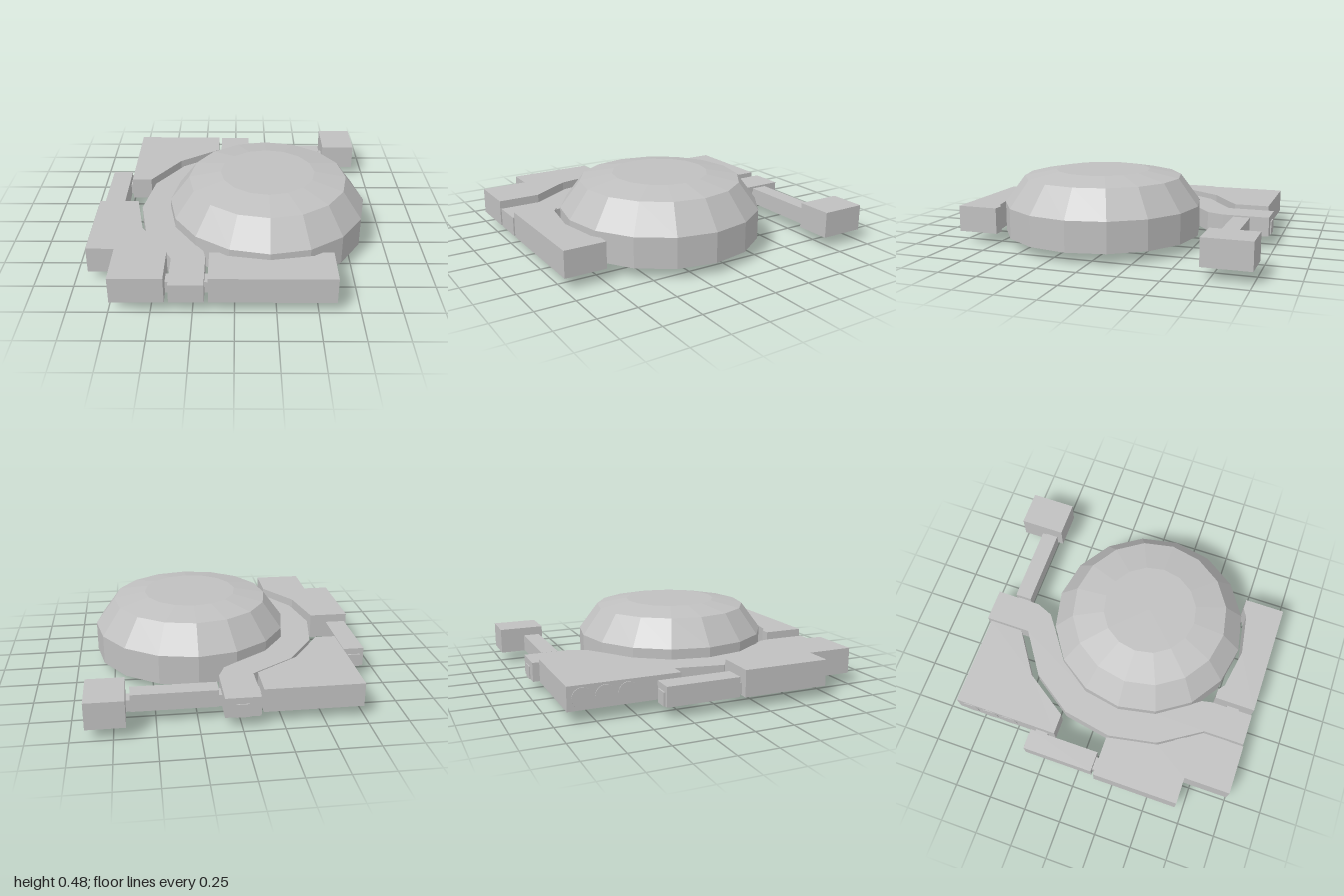
import * as THREE from 'three';

const grey = new THREE.MeshStandardMaterial({ color: 0xc0c0c0, flatShading: true });
grey.name = 'plain grey';

const BASE = 0.075;
const CX = 0.215, CZ = 0.13; // dome centre

export function createModel() {
  const model = new THREE.Group();
  model.name = 'domedAssembly';

  const add = (name, geometry, x = 0, y = 0, z = 0) => {
    const mesh = new THREE.Mesh(geometry, grey);
    mesh.name = name;
    mesh.position.set(x, y, z);
    model.add(mesh);
    return mesh;
  };

  // Box given by its limits on each axis
  const box = (name, x0, x1, y0, y1, z0, z1) =>
    add(name, new THREE.BoxGeometry(x1 - x0, y1 - y0, z1 - z0),
      (x0 + x1) / 2, (y0 + y1) / 2, (z0 + z1) / 2);

  // Slab with an outline of [x, z] points
  const slab = (name, outline, y0, y1) => {
    const shape = new THREE.Shape(outline.map(([x, z]) => new THREE.Vector2(x, -z)));
    const geometry = new THREE.ExtrudeGeometry(shape, { depth: y1 - y0, bevelEnabled: false });
    geometry.rotateX(-Math.PI / 2);
    return add(name, geometry, 0, y0, 0);
  };

  // Faceted dome with a stepped, recessed underside
  const profile = [
    [0, 0.11], [0.21, 0.11], [0.21, 0.05], [0.43, 0.05], [0.43, 0.07], [0.65, 0.07],
    [0.65, 0.265], [0.52, 0.44], [0.31, 0.48], [0, 0.48],
  ].map(([r, y]) => new THREE.Vector2(r, y));
  add('dome', new THREE.LatheGeometry(profile, 16), CX, 0, CZ);
  add('hub', new THREE.CylinderGeometry(0.08, 0.08, 0.05, 16), CX, 0.085, CZ);
  box('hubPin', CX - 0.045, CX + 0.045, 0, 0.07, CZ - 0.045, CZ + 0.045);

  // Curved strip around the dome
  slab('curvedStrip', [
    [-0.11, -0.96], [0.105, -0.96], [0.105, -0.66], [0.06, -0.55], [-0.04, -0.475],
    [-0.24, -0.335], [-0.39, -0.12], [-0.435, 0.13], [-0.385, 0.38], [-0.24, 0.59],
    [-0.195, 0.65], [-0.18, 0.72], [-0.18, 1], [-0.39, 1], [-0.39, 0.73], [-0.57, 0.45],
    [-0.63, 0.13], [-0.57, -0.2], [-0.385, -0.47], [-0.11, -0.655],
  ], BASE, 0.2);
  box('stripEndTab', -0.04, 0.04, BASE, 0.16, -0.967, -0.955);

  // Plates around the strip
  slab('backPlate', [
    [-0.74, -0.92], [-0.13, -0.92], [-0.13, -0.695], [-0.41, -0.505],
    [-0.605, -0.215], [-0.74, -0.215],
  ], BASE, 0.225);
  slab('cornerPlate', [
    [-0.915, 0.125], [-0.655, 0.125], [-0.59, 0.46], [-0.415, 0.725], [-0.415, 1],
    [-0.74, 1], [-0.74, 0.695], [-0.915, 0.695],
  ], BASE, 0.245);
  slab('frontPlate', [
    [-0.155, 0.73], [-0.095, 0.73], [-0.05, 0.765], [0.215, 0.81], [0.48, 0.765],
    [0.535, 0.73], [0.605, 0.73], [0.605, 1], [-0.155, 1],
  ], BASE, 0.245);

  // Round studs on the side of the back plate
  for (const z of [-0.83, -0.69, -0.55]) {
    add('sideStud', new THREE.CylinderGeometry(0.062, 0.062, 0.008, 16), -0.741, 0.15, z)
      .rotation.z = Math.PI / 2;
  }

  // Side bar
  box('sideBar', -0.895, -0.76, BASE, 0.2, -0.375, 0.1);
  box('sideBarTab', -0.87, -0.785, BASE, 0.16, -0.385, -0.37);

  // Arm and end block
  box('arm', 0.125, 0.65, 0.085, 0.195, -0.84, -0.73);
  box('armBlock', 0.675, 0.91, BASE, 0.245, -1, -0.7);

  // Small links between neighbouring parts
  const links = [
    [-0.77, -0.73, -0.35, -0.265], [-0.87, -0.785, 0.09, 0.135],
    [-0.14, -0.1, -0.825, -0.74], [0.095, 0.135, -0.825, -0.74],
    [0.64, 0.685, -0.825, -0.74], [-0.425, -0.38, 0.825, 0.91],
    [-0.19, -0.145, 0.825, 0.91],
  ];
  for (const [x0, x1, z0, z1] of links) box('link', x0, x1, BASE + 0.005, 0.155, z0, z1);
  add('slantedLink', new THREE.BoxGeometry(0.05, 0.075, 0.08), -0.49, 0.118, 0.595)
    .rotation.y = 0.58;

  return model;
}
